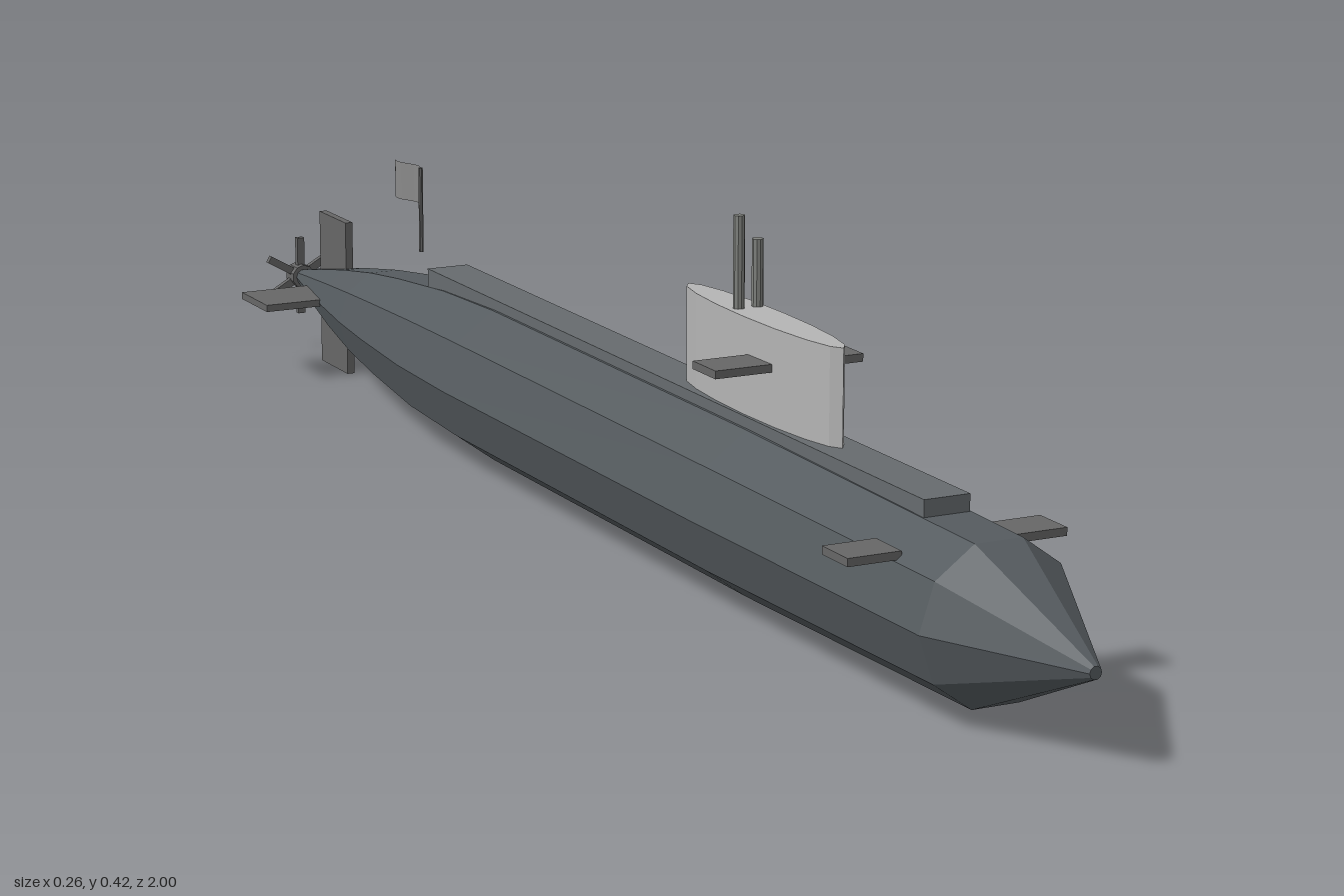
import * as THREE from 'three';

const AXIS_Y = 0.1; // height of the hull's centre line

const paint = (color, extra = {}) =>
  new THREE.MeshStandardMaterial({ color, flatShading: true, ...extra });

export function createModel() {
  const model = new THREE.Group();
  model.name = 'submarine';

  const hullPaint = paint(0x555b5f);
  const deckPaint = paint(0x666b6e);
  const sailPaint = paint(0xb4b4b4);
  const finPaint = paint(0x666666);
  const mastPaint = paint(0x80827e);

  const add = (name, geometry, material, x = 0, y = 0, z = 0, parent = model) => {
    const mesh = new THREE.Mesh(geometry, material);
    mesh.name = name;
    mesh.position.set(x, y, z);
    parent.add(mesh);
    return mesh;
  };

  // Box given by its low and high limits on each axis
  const addBox = (name, material, [x0, x1], [y0, y1], [z0, z1]) =>
    add(name, new THREE.BoxGeometry(x1 - x0, y1 - y0, z1 - z0), material,
      (x0 + x1) / 2, (y0 + y1) / 2, (z0 + z1) / 2);

  // Ten-sided hull: [z, radius] from stern to bow
  const profile = [
    [-0.99, 0], [-0.99, 0.007], [-0.9, 0.027], [-0.8, 0.047], [-0.7, 0.064],
    [-0.6, 0.077], [-0.45, 0.092], [-0.3, 0.098], [0.35, 0.098],
    [0.82, 0.09], [1, 0.007], [1, 0],
  ].map(([z, r]) => new THREE.Vector2(r, z));
  const hull = new THREE.LatheGeometry(profile, 10, Math.PI / 2);
  hull.rotateX(Math.PI / 2);
  add('hull', hull, hullPaint, 0, AXIS_Y, 0);

  // Raised walkway along the top
  addBox('deck', deckPaint, [-0.027, 0.027], [0.17, 0.206], [-0.5, 0.72]);

  // Slender oval sail
  const sail = new THREE.CylinderGeometry(1, 1, 0.125, 16);
  sail.scale(0.0235, 1, 0.176);
  add('sail', sail, sailPaint, 0, 0.2515, 0.33);

  // Periscope and mast
  add('periscope', new THREE.CylinderGeometry(0.0065, 0.0065, 0.137, 10), mastPaint, -0.009, 0.3485, 0.29);
  add('mast', new THREE.CylinderGeometry(0.0065, 0.0065, 0.109, 10), mastPaint, 0.014, 0.3345, 0.29);

  // Control surfaces, mirrored left and right
  for (const [side, s] of [['left', 1], ['right', -1]]) {
    const span = (a, b) => (s > 0 ? [a, b] : [-b, -a]);
    addBox(side + 'SailPlane', finPaint, span(0.012, 0.09), [0.265, 0.274], [0.338, 0.39]);
    addBox(side + 'BowPlane', finPaint, span(0.066, 0.128), [0.155, 0.164], [0.692, 0.744]);
    addBox(side + 'SternPlane', finPaint, span(0.01, 0.118), [0.0955, 0.1045], [-0.903, -0.815]);
  }

  // Upper and lower rudders
  addBox('upperRudder', finPaint, [-0.005, 0.005], [0.11, 0.204], [-0.903, -0.815]);
  addBox('lowerRudder', finPaint, [-0.005, 0.005], [0, 0.09], [-0.903, -0.815]);

  // Six-bladed propeller
  const propeller = new THREE.Group();
  propeller.name = 'propeller';
  propeller.position.set(0, AXIS_Y, -0.987);
  model.add(propeller);
  const hub = new THREE.CylinderGeometry(0.016, 0.016, 0.025, 10);
  hub.rotateX(Math.PI / 2);
  add('hub', hub, finPaint, 0, 0, 0, propeller);
  for (let i = 0; i < 6; i++) {
    const blade = new THREE.BoxGeometry(0.01, 0.044, 0.008);
    blade.translate(0, 0.03, 0);
    blade.rotateZ((i * Math.PI) / 3);
    add('blade', blade, finPaint, 0, 0, 0, propeller);
  }

  // Flagpole and rippling flag trailing aft
  add('flagpole', new THREE.CylinderGeometry(0.003, 0.003, 0.108, 8), finPaint, 0, 0.264, -0.58);
  const flag = new THREE.PlaneGeometry(0.08, 0.048, 8, 1);
  flag.rotateY(Math.PI / 2);
  flag.translate(0, 0, -0.04);
  const p = flag.attributes.position;
  for (let i = 0; i < p.count; i++) {
    p.setX(i, 0.006 * Math.sin((-p.getZ(i) / 0.08) * Math.PI * 2));
  }
  flag.computeVertexNormals();
  add('flag', flag, paint(0x8a8a8a, { side: THREE.DoubleSide }), 0, 0.293, -0.58);

  return model;
}
